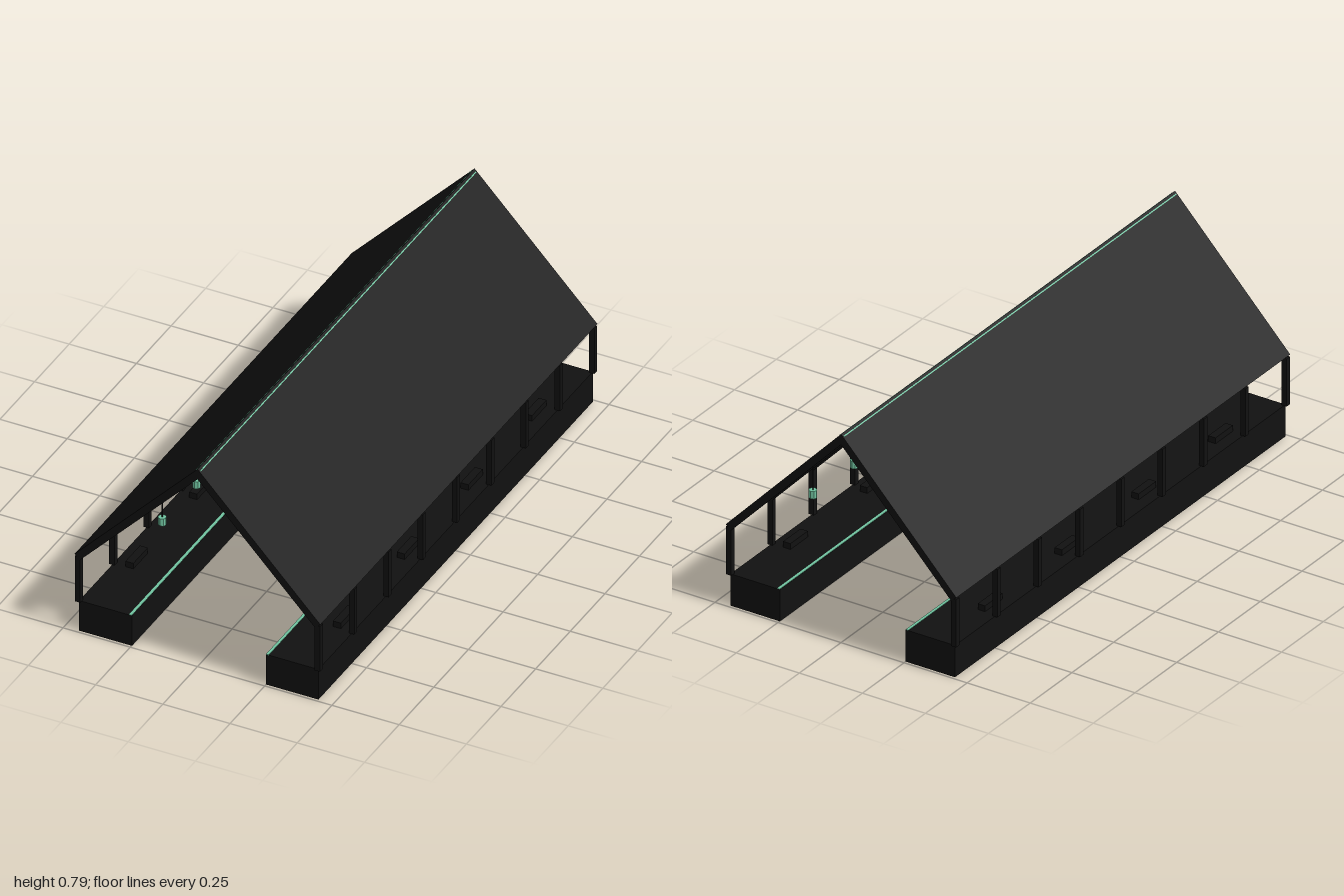
import * as THREE from 'three';

export function createModel() {
  const model = new THREE.Group();
  model.name = 'stationShelter';
  const black = new THREE.MeshStandardMaterial({ color: 0x111111 });
  black.name = 'black';
  const green = new THREE.MeshStandardMaterial({ color: 0x70c4a0 });
  green.name = 'mint green';

  function add(name, geometry, material, x = 0, y = 0, z = 0) {
    const mesh = new THREE.Mesh(geometry, material);
    mesh.name = name;
    mesh.position.set(x, y, z);
    model.add(mesh);
    return mesh;
  }

  // Gable section between two depths: 0 is the outer face, 1 the inner face
  function gable(from, to, length) {
    const eave = t => [0.457 - 0.02 * t, 0.308 - 0.018 * t];
    const peak = t => 0.787 - 0.04 * t;
    const [ox, oy] = eave(from);
    const [ix, iy] = eave(to);
    const shape = new THREE.Shape([
      [-ox, oy], [-ix, iy], [0, peak(to)], [ix, iy], [ox, oy], [0, peak(from)],
    ].map(([x, y]) => new THREE.Vector2(x, y)));
    return new THREE.ExtrudeGeometry(shape, { depth: length, bevelEnabled: false })
      .translate(0, 0, -length / 2);
  }

  const bay = 0.2475;

  // Roof covering
  add('roof', gable(0, 0.15, 2), black);

  // Rafter frames and their posts
  const rafter = gable(0.15, 1, 0.02);
  const post = new THREE.BoxGeometry(0.02, 0.18, 0.02);
  for (let i = -4; i <= 4; i++) {
    add('rafter', rafter, black, 0, 0, i * bay);
    for (const side of [-1, 1]) add('post', post, black, side * 0.446, 0.21, i * bay);
  }

  const platform = new THREE.BoxGeometry(0.196, 0.12, 1.98);
  const edgeStrip = new THREE.BoxGeometry(0.01, 0.003, 1.98);
  const bench = new THREE.BoxGeometry(0.029, 0.022, 0.104);
  const cord = new THREE.CylinderGeometry(0.002, 0.002, 0.1, 6);
  const lamp = new THREE.CylinderGeometry(0.0145, 0.0145, 0.029, 8).toNonIndexed();
  lamp.computeVertexNormals();
  const ridgeLine = new THREE.BoxGeometry(0.004, 0.002, 1.99);

  for (const side of [-1, 1]) {
    // Platform with its painted inner edge
    add('platform', platform, black, side * 0.347, 0.06);
    add('platformEdge', edgeStrip, green, side * 0.255, 0.12);

    // Benches
    for (const z of [-0.69, -0.23, 0.23, 0.69]) add('bench', bench, black, side * 0.386, 0.131, z);

    // Hanging lamps, one in the middle of each bay
    for (let i = -3.5; i <= 3.5; i++) {
      add('lampCord', cord, black, side * 0.2, 0.505, i * bay);
      add('lamp', lamp, green, side * 0.2, 0.441, i * bay);
    }

    // Thin line beside the ridge
    const line = add('ridgeLine', ridgeLine, green, side * 0.008, 0.7788);
    line.rotation.z = -side * Math.atan(1.05);
  }
  return model;
}
